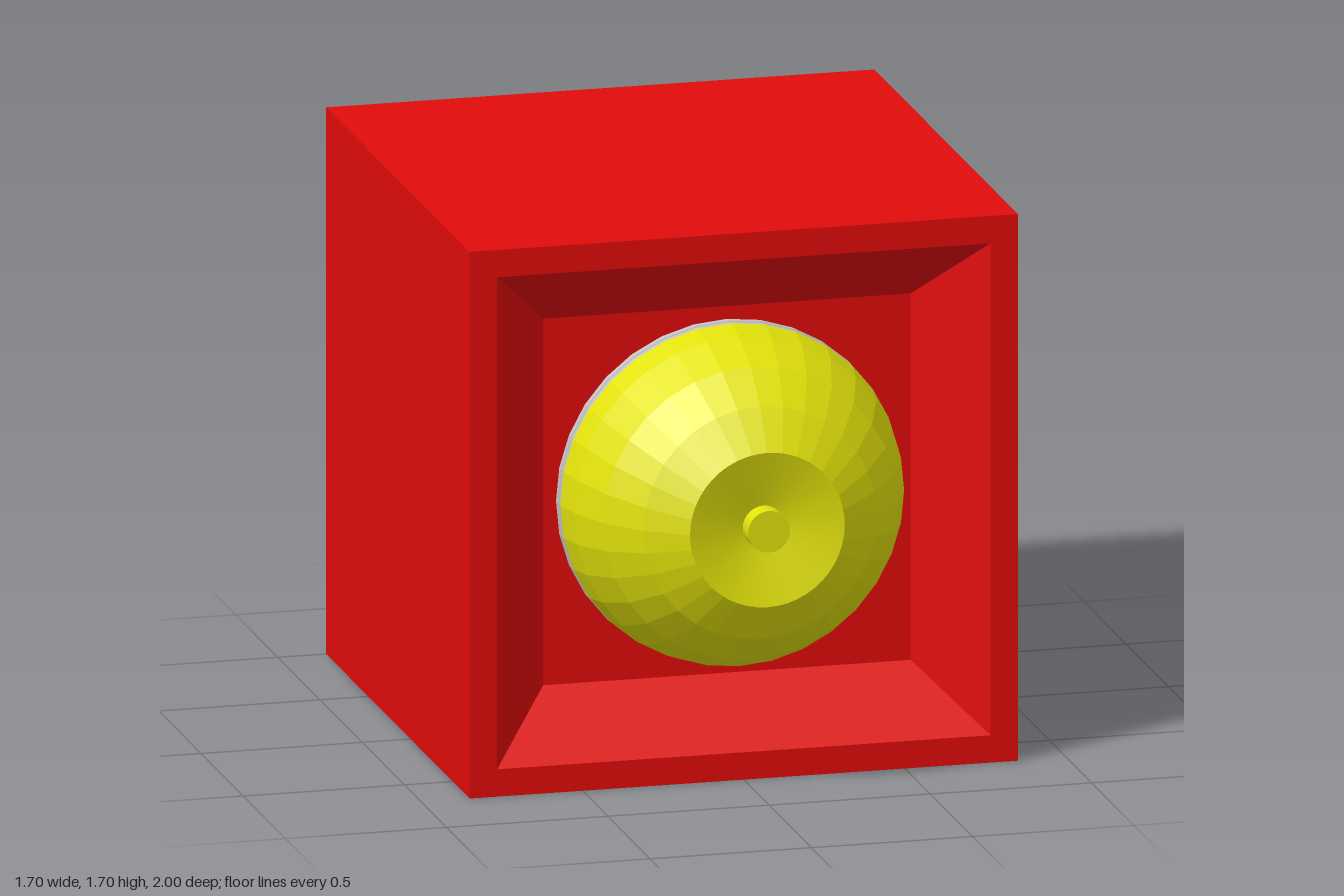
import * as THREE from 'three';

const red = new THREE.MeshStandardMaterial({ color: 0xe20b0b });
red.name = 'red';
const yellow = new THREE.MeshStandardMaterial({ color: 0xe2e20b });
yellow.name = 'yellow';
const silver = new THREE.MeshStandardMaterial({ color: 0xc4c4c4 });
silver.name = 'silver';

const CENTRE_Y = 0.85;

// Spins a profile of [radius, z] points (back to front) around the z axis
function turned(name, profile, material, { segments = 32, start = 0, smooth = false } = {}) {
  const points = profile.map(([r, z]) => new THREE.Vector2(r, z));
  let geometry = new THREE.LatheGeometry(points, segments, start);
  geometry.rotateX(Math.PI / 2);
  if (!smooth) {
    geometry = geometry.toNonIndexed();
    geometry.computeVertexNormals();
  }
  const mesh = new THREE.Mesh(geometry, material);
  mesh.name = name;
  mesh.position.y = CENTRE_Y;
  return mesh;
}

export function createModel() {
  const model = new THREE.Group();
  model.name = 'boxedButton';

  // Square housing with a bevelled recess in its front: a four-sided turning
  const half = [[0, -1], [0.85, -1], [0.85, 0.7], [0.765, 0.7], [0.57, 0.5], [0, 0.5]];
  model.add(turned('housing', half.map(([h, z]) => [h * Math.SQRT2, z]), red,
    { segments: 4, start: Math.PI / 4 }));

  // Metal collar against the recess floor, in two bands with a fine groove
  model.add(turned('collar',
    [[0.53, 0.5], [0.53, 0.522], [0.52, 0.526], [0.528, 0.53], [0.528, 0.55]], silver));

  // Faceted dome, cut off at the front
  const radius = 0.53, domeCentre = 0.507;
  const dome = [[0.529, 0.55]];
  for (const degrees of [75, 59, 43, 26.9]) {
    const a = THREE.MathUtils.degToRad(degrees);
    dome.push([radius * Math.sin(a), domeCentre + radius * Math.cos(a)]);
  }
  model.add(turned('dome', dome, yellow));

  // Shallow dish sunk into the cut front, with a small knob in the middle
  model.add(turned('dish', [[0.24, 0.98], [0, 0.92]], yellow, { segments: 48, smooth: true }));
  model.add(turned('knob', [[0.065, 0.91], [0.065, 1], [0, 1]], yellow));

  return model;
}
